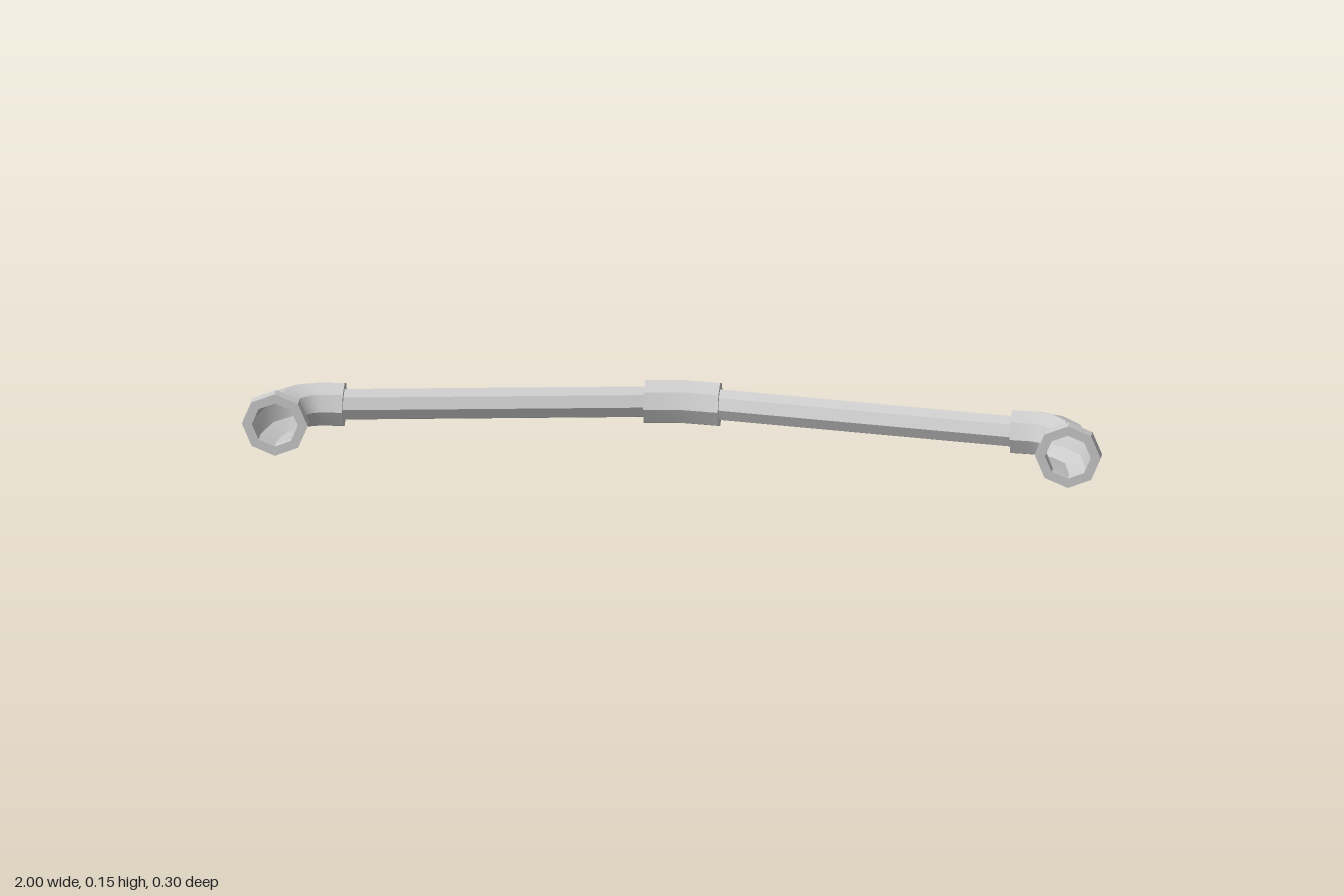
import * as THREE from 'three';
import { toCreasedNormals } from 'three/addons/utils/BufferGeometryUtils.js';

const SIDES = 8;
const AXIS_Y = 0.0765;
const ROD_R = 0.038, FITTING_R = 0.0535, FLANGE_R = 0.0765;

// Sweeps an octagon along [x, z] points; the ends are cut square to the nearest axis.
// startInner / endInner close an end with a flat ring down to that radius.
function sweep(path, radius, startInner, endInner) {
  const stations = path.map((p, i) => {
    const a = path[Math.max(i - 1, 0)], b = path[Math.min(i + 1, path.length - 1)];
    const t = new THREE.Vector2(b[0] - a[0], b[1] - a[1]);
    if (i === 0 || i === path.length - 1) {
      if (Math.abs(t.x) > Math.abs(t.y)) t.y = 0;
      else t.x = 0;
    }
    return { p, t: t.normalize(), r: radius };
  });
  if (startInner) stations.unshift({ ...stations[0], r: startInner });
  if (endInner) stations.push({ ...stations[stations.length - 1], r: endInner });

  const positions = [], index = [];
  for (const { p, t, r } of stations) {
    for (let j = 0; j < SIDES; j++) {
      const a = (j / SIDES) * Math.PI * 2;
      const out = r * Math.cos(a);
      positions.push(p[0] + t.y * out, AXIS_Y + r * Math.sin(a), p[1] - t.x * out);
    }
  }
  for (let i = 0; i < stations.length - 1; i++) {
    for (let j = 0; j < SIDES; j++) {
      const k = (j + 1) % SIDES;
      const a = i * SIDES + j, b = i * SIDES + k;
      index.push(a, b, b + SIDES, a, b + SIDES, a + SIDES);
    }
  }
  const geometry = new THREE.BufferGeometry();
  geometry.setAttribute('position', new THREE.Float32BufferAttribute(positions, 3));
  geometry.setIndex(index);
  return toCreasedNormals(geometry, 0.6);
}

export function createModel() {
  const model = new THREE.Group();
  model.name = 'barHandle';
  const material = new THREE.MeshStandardMaterial({ color: 0xcccccc, side: THREE.DoubleSide });
  const add = (name, geometry) => {
    const mesh = new THREE.Mesh(geometry, material);
    mesh.name = name;
    model.add(mesh);
  };

  // Slightly bent sleeve joining the two rods
  add('centerCoupling', sweep([[-0.087, -0.09], [0, -0.099], [0.087, -0.09]], FITTING_R, ROD_R, ROD_R));

  for (const [side, s] of [['left', 1], ['right', -1]]) {
    const mirror = (points) => points.map(([x, z]) => [x * s, z]);

    // Straight rod
    add(side + 'Rod', sweep(mirror([[0.08, -0.09], [0.785, 0.005]]), ROD_R));

    // Hollow elbow turning towards the mounting face
    add(side + 'Elbow', sweep(mirror([
      [0.777, 0.005], [0.835, 0.009], [0.873, 0.022], [0.906, 0.056], [0.9235, 0.125], [0.9235, 0.152],
    ]), FITTING_R, ROD_R));

    // Open mounting flange
    add(side + 'Flange', sweep(mirror([[0.9235, 0.124], [0.9235, 0.152]]), FLANGE_R, FITTING_R, FITTING_R));
  }
  return model;
}
